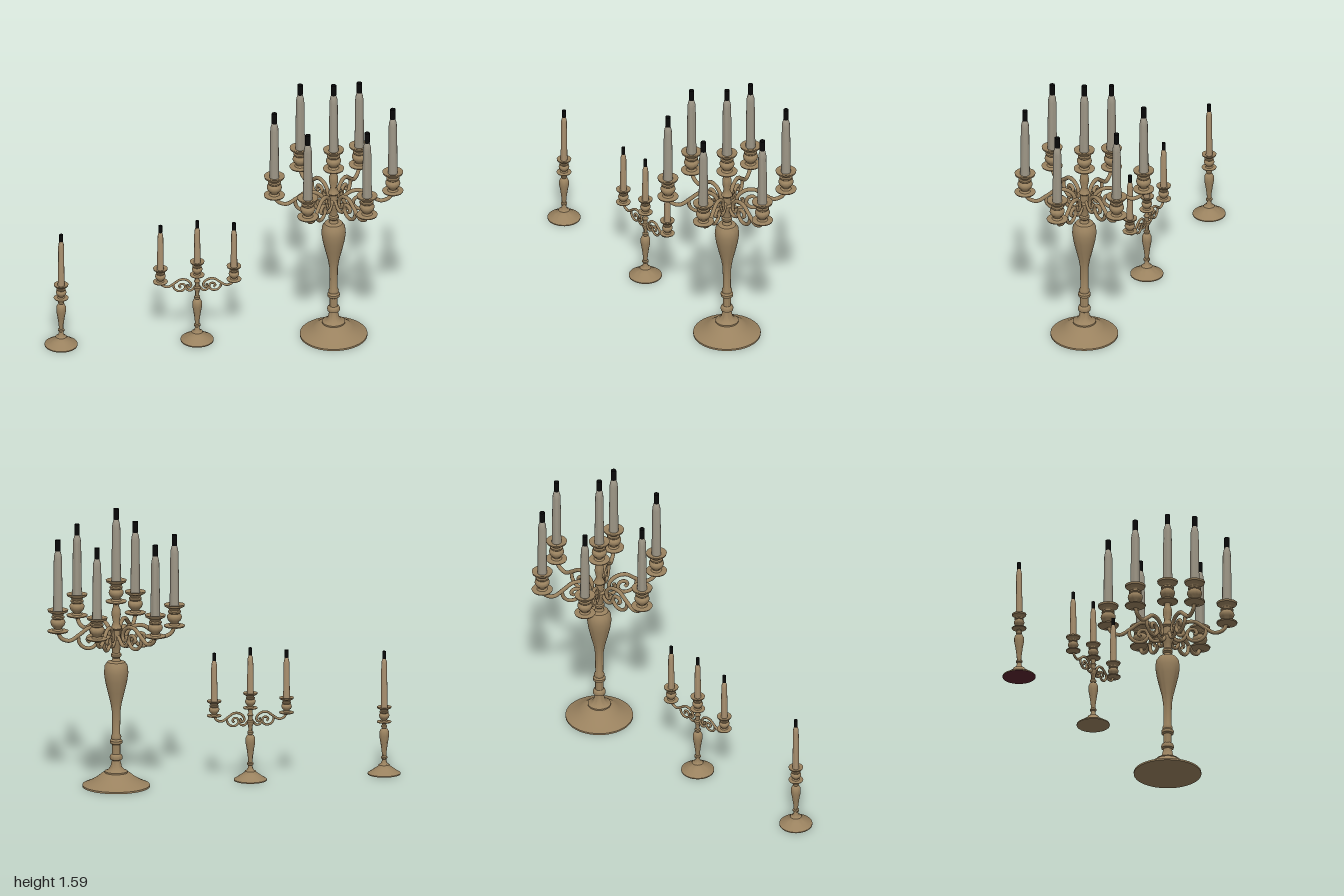
import * as THREE from 'three';
import { toCreasedNormals } from 'three/addons/utils/BufferGeometryUtils.js';

const mat = (name, color) => {
  const m = new THREE.MeshStandardMaterial({ color, side: THREE.DoubleSide });
  m.name = name;
  return m;
};

export function createModel() {
  const metal = mat('antique brass', 0x9a825f);
  const greyWax = mat('grey wax', 0x9c9585);
  const tanWax = mat('tan wax', 0xa88f6e);
  const black = mat('black wick', 0x080808);
  const felt = mat('dark red felt', 0x5a2630);

  const lathe = (pts, material, name, segments = 32) => {
    const geo = new THREE.LatheGeometry(pts.map(([r, y]) => new THREE.Vector2(r, y)), segments);
    const mesh = new THREE.Mesh(toCreasedNormals(geo, 0.7), material);
    mesh.name = name;
    return mesh;
  };
  const tube = (pts, radius, name) => {
    const curve = new THREE.CatmullRomCurve3(pts.map(([x, y]) => new THREE.Vector3(x, y, 0)));
    const mesh = new THREE.Mesh(new THREE.TubeGeometry(curve, 40, radius, 8), metal);
    mesh.name = name;
    return mesh;
  };

  // Socket with lower saucer, turned cup and drip plate; candle and wick above it
  const socketProfile = [
    [0, -0.008], [0.02, -0.008], [0.03, 0], [0.056, 0.003], [0.059, 0.01], [0.03, 0.013],
    [0.022, 0.022], [0.026, 0.03], [0.036, 0.04], [0.042, 0.056], [0.04, 0.068], [0.03, 0.078],
    [0.036, 0.084], [0.036, 0.092], [0.029, 0.097], [0.034, 0.108], [0.055, 0.119],
    [0.058, 0.13], [0.05, 0.131], [0.03, 0.122], [0, 0.122],
  ];
  const candleHolder = (scale, candleHeight, wax) => {
    const g = new THREE.Group();
    g.name = 'candleHolder';
    const h = 0.125 + candleHeight;
    g.add(lathe(socketProfile, metal, 'socket'));
    g.add(lathe([
      [0.027, 0.12], [0.026, 0.2], [0.023, h - 0.05], [0.021, h - 0.03],
      [0.014, h - 0.004], [0.006, h + 0.004], [0.004, h + 0.03], [0, h + 0.03],
    ], wax, 'candle', 20));
    const wick = new THREE.Mesh(new THREE.CylinderGeometry(0.015, 0.015, 0.062, 12, 1, true), black);
    wick.position.y = h + 0.027;
    wick.name = 'wick';
    g.add(wick);
    g.scale.setScalar(scale);
    return g;
  };

  // Scrolled branch running outward along +x
  const branch = () => {
    const g = new THREE.Group();
    g.name = 'branch';
    g.add(tube([[0.33, 0.912], [0.31, 0.875], [0.262, 0.859], [0.205, 0.893], [0.155, 0.927],
      [0.105, 0.927], [0.066, 0.9], [0.055, 0.868], [0.07, 0.845], [0.09, 0.857], [0.084, 0.877]],
    0.0115, 'branchArm'));
    g.add(tube([[0.215, 0.885], [0.208, 0.845], [0.178, 0.816], [0.135, 0.815], [0.108, 0.845],
      [0.12, 0.88], [0.15, 0.882], [0.163, 0.86], [0.148, 0.847]], 0.0105, 'branchScroll'));
    g.add(tube([[0.108, 0.85], [0.085, 0.82], [0.055, 0.815], [0.03, 0.84], [0.015, 0.86]],
      0.0105, 'branchFoot'));
    return g;
  };

  const root = new THREE.Group();
  root.name = 'candelabraSet';
  const place = (name, x) => {
    const g = new THREE.Group();
    g.name = name;
    g.position.x = x;
    root.add(g);
    return g;
  };

  // Large candelabrum: six branches around a central light
  const large = place('largeCandelabrum', 0.61);
  large.add(lathe([
    [0, 0], [0.188, 0], [0.188, 0.01], [0.155, 0.024], [0.11, 0.05], [0.078, 0.076], [0.064, 0.08],
    [0.064, 0.088], [0.048, 0.094], [0.032, 0.112], [0.024, 0.15], [0.034, 0.156], [0.036, 0.168],
    [0.032, 0.18], [0.023, 0.186], [0.023, 0.24], [0.034, 0.247], [0.035, 0.262], [0.027, 0.272],
    [0.029, 0.285], [0.022, 0.3], [0.024, 0.43], [0.032, 0.48], [0.047, 0.54], [0.061, 0.6],
    [0.068, 0.65], [0.064, 0.69], [0.05, 0.712], [0.026, 0.718], [0.02, 0.735], [0.029, 0.745],
    [0.029, 0.757], [0.022, 0.765], [0.024, 0.8], [0.034, 0.82], [0.034, 0.84], [0.023, 0.85],
    [0.023, 0.895], [0.032, 0.905], [0.024, 0.92], [0.018, 0.94], [0.026, 0.98], [0.024, 1.01],
    [0.016, 1.03], [0.02, 1.05], [0, 1.05],
  ], metal, 'largeStand', 40));
  const centreLight = candleHolder(1, 0.355, greyWax);
  centreLight.position.y = 1.05;
  large.add(centreLight);
  for (let i = 0; i < 6; i++) {
    const a = (i * Math.PI) / 3;
    const arm = new THREE.Group();
    arm.name = 'largeArm';
    arm.add(branch());
    const light = candleHolder(1, 0.345, greyWax);
    light.position.set(0.33, 0.91, 0);
    arm.add(light);
    arm.rotation.y = a;
    arm.position.y = i % 3 === 0 ? -0.015 : 0;
    large.add(arm);
  }

  // Shared foot and baluster of the two smaller pieces
  const smallProfile = [
    [0.092, 0], [0.092, 0.006], [0.075, 0.016], [0.05, 0.034], [0.034, 0.045], [0.031, 0.053],
    [0.021, 0.057], [0.014, 0.07], [0.012, 0.085], [0.018, 0.09], [0.018, 0.098], [0.012, 0.103],
    [0.014, 0.13], [0.02, 0.175], [0.027, 0.215], [0.027, 0.24], [0.02, 0.255], [0.011, 0.26],
    [0.017, 0.268], [0.017, 0.276], [0.011, 0.282],
  ];

  // Medium candelabrum: two branches and a central light
  const medium = place('mediumCandelabrum', -0.15);
  medium.add(lathe([[0, 0], ...smallProfile, [0.012, 0.31], [0.02, 0.325], [0.02, 0.335],
    [0.013, 0.342], [0.013, 0.365], [0.018, 0.372], [0.011, 0.385], [0.014, 0.41], [0, 0.41]],
  metal, 'mediumStand'));
  const mediumCentre = candleHolder(0.7, 0.315, tanWax);
  mediumCentre.position.y = 0.408;
  medium.add(mediumCentre);
  for (const a of [0, Math.PI]) {
    const arm = new THREE.Group();
    arm.name = 'mediumArm';
    const scroll = branch();
    scroll.scale.setScalar(0.62);
    scroll.position.y = -0.19;
    const light = candleHolder(0.7, 0.335, tanWax);
    light.position.set(0.205, 0.372, 0);
    arm.add(scroll, light);
    arm.rotation.y = a;
    medium.add(arm);
  }

  // Single candlestick with a felt underside
  const single = place('singleCandlestick', -0.908);
  single.add(lathe([...smallProfile, [0.014, 0.295], [0, 0.295]], metal, 'singleStand'));
  const pad = new THREE.Mesh(new THREE.CylinderGeometry(0.0915, 0.0915, 0.004, 32), felt);
  pad.position.y = 0.002;
  pad.name = 'feltPad';
  single.add(pad);
  const singleLight = candleHolder(0.7, 0.4, tanWax);
  singleLight.position.y = 0.293;
  single.add(singleLight);

  return root;
}
